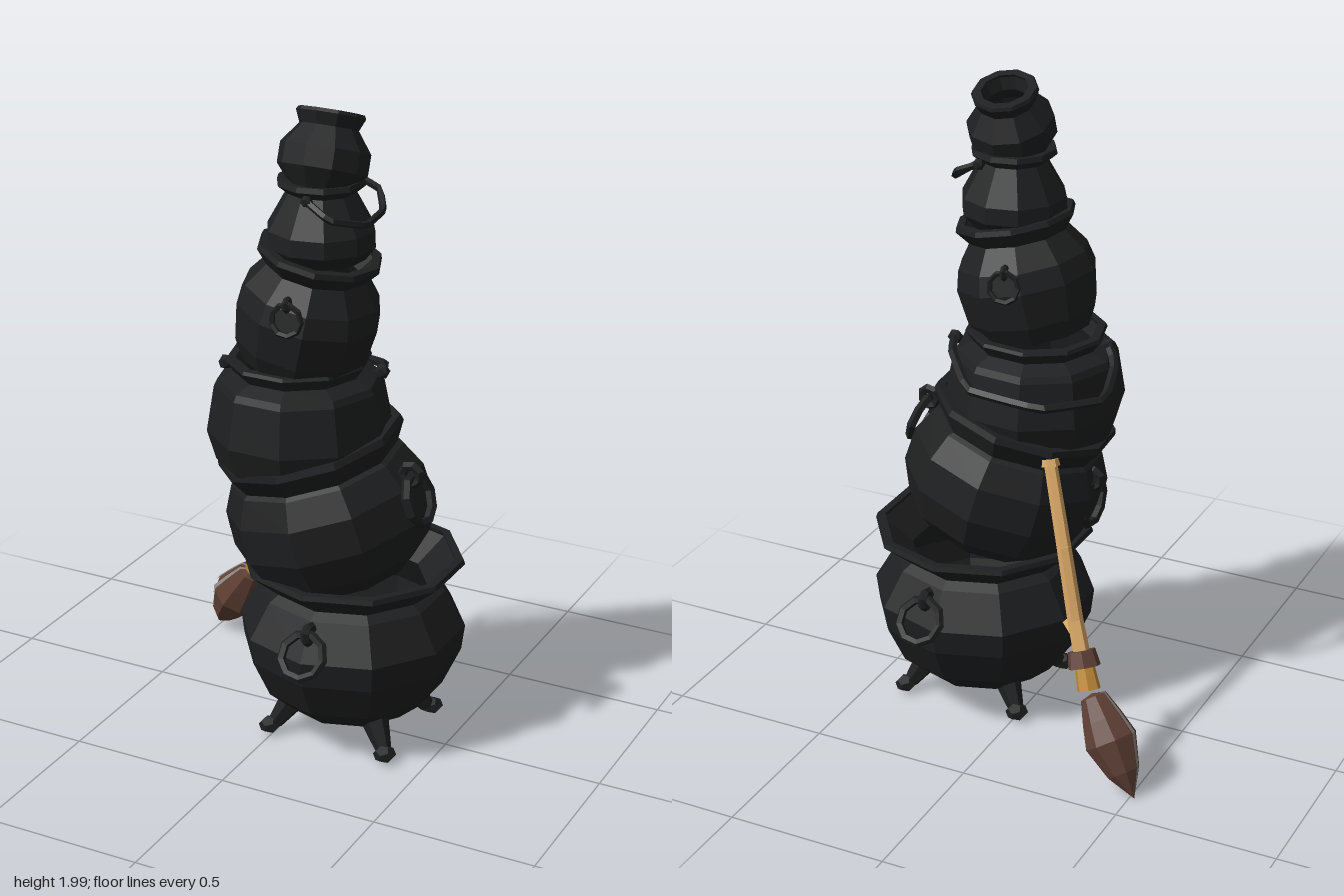
import * as THREE from 'three';

const mat = (color, side = THREE.FrontSide) =>
  new THREE.MeshStandardMaterial({ color, side, flatShading: true });
const iron = mat(0x1e1f20);
const wood = mat(0xd8a765);
const band = mat(0xc08a3a);
const straw = mat(0x5f4035);
const paleStraw = mat(0x8a8580);
const UP = new THREE.Vector3(0, 1, 0);
const v = (p) => new THREE.Vector3(...p);

function add(parent, name, geometry, material) {
  const mesh = new THREE.Mesh(geometry, material);
  mesh.name = name;
  parent.add(mesh);
  return mesh;
}

// Tapered rod from a to b
function rod(parent, name, a, b, r1, r2, material, sides = 6) {
  const d = v(b).sub(v(a));
  const mesh = add(parent, name, new THREE.CylinderGeometry(r2, r1, d.length(), sides), material);
  mesh.position.copy(v(a)).addScaledVector(d, 0.5);
  mesh.quaternion.setFromUnitVectors(UP, d.normalize());
  return mesh;
}

// Hollow pot: outer profile up to the lip, then back down the inside
function cauldron(parent, name, base, tiltX, tiltZ, profile, turn) {
  const t = 0.025;
  const outer = profile.map(([r, y]) => new THREE.Vector2(r, y));
  const inner = profile.map(([r, y], i) => new THREE.Vector2(r - t, i === 0 ? y + t : y)).reverse();
  const pts = [new THREE.Vector2(0, 0), ...outer, ...inner, new THREE.Vector2(0, t)];
  const geometry = new THREE.LatheGeometry(pts, 10).rotateY(turn);
  const mesh = add(parent, name, geometry, iron);
  mesh.position.set(...base);
  mesh.rotation.set(tiltX, 0, tiltZ);
}

// Ring hanging from a staple; azimuth 0 faces +z, swing lifts its lower edge outward
function ringHandle(parent, top, azimuth, swing, radius) {
  const g = new THREE.Group();
  g.name = 'ringHandle';
  const tube = radius * 0.2;
  const ring = add(g, 'ring', new THREE.TorusGeometry(radius, tube, 5, 9), iron);
  ring.position.set(0, -radius * Math.cos(swing), radius * Math.sin(swing));
  ring.rotation.x = -swing;
  const staple = add(g, 'staple', new THREE.TorusGeometry(radius * 0.38, tube, 5, 7), iron);
  staple.rotation.y = Math.PI / 2;
  g.position.set(...top);
  g.rotation.y = azimuth;
  parent.add(g);
}

// Carrying hoop through a few corners, with a knob at each end
function bail(parent, name, points, r) {
  const curve = new THREE.CatmullRomCurve3(points.map(v), false, 'catmullrom', 0.1);
  add(parent, name, new THREE.TubeGeometry(curve, 20, r, 5), iron);
  for (const p of [points[0], points[points.length - 1]]) {
    add(parent, name + 'Knob', new THREE.IcosahedronGeometry(r * 1.7, 0), iron).position.set(...p);
  }
}

function broom() {
  const g = new THREE.Group();
  g.name = 'broom';
  // Crooked stick
  const path = [[-0.315, 0.31, -0.305], [-0.25, 0.47, -0.25], [-0.19, 0.68, -0.205], [-0.115, 0.9, -0.138]];
  for (let i = 0; i < 3; i++) {
    rod(g, 'broomStick', path[i], path[i + 1], 0.026 - i * 0.002, 0.024 - i * 0.002, wood);
  }
  rod(g, 'stickTip', path[3], [-0.11, 0.92, -0.133], 0.028, 0.024, wood);
  rod(g, 'twig', [-0.27, 0.41, -0.265], [-0.215, 0.45, -0.23], 0.014, 0.017, wood, 5);
  // Binding
  rod(g, 'collar', [-0.3, 0.345, -0.292], [-0.283, 0.39, -0.277], 0.05, 0.042, straw, 7);
  rod(g, 'binding', [-0.325, 0.285, -0.313], [-0.302, 0.345, -0.293], 0.036, 0.03, band, 7);
  // Bristles taper to a point
  const neck = v([-0.315, 0.31, -0.305]);
  const tip = v([-0.515, 0.01, -0.4]);
  const axis = tip.clone().sub(neck);
  const len = axis.length();
  const q = new THREE.Quaternion().setFromUnitVectors(UP, axis.normalize());
  const profile = (s) => [[0, 0.04], [0.04, 0.05], [0.062, 0.12], [0.08, 0.19], [0.05, 0.29], [0, len]]
    .map(([r, y]) => new THREE.Vector2(r * s, y));
  const place = (m) => {
    m.position.copy(neck);
    m.quaternion.copy(q);
  };
  place(add(g, 'bristles', new THREE.LatheGeometry(profile(1), 8), straw));
  // Pale strands on the upper outer side
  const out = v([-0.6, 0.6, 0.4]).applyQuaternion(q.clone().invert());
  const phi = Math.atan2(out.x, out.z);
  for (const offset of [-0.35, 0.2]) {
    place(add(g, 'paleStrand', new THREE.LatheGeometry(profile(1.03), 1, phi + offset, 0.22), paleStraw));
  }
  return g;
}

export function createModel() {
  const model = new THREE.Group();
  model.name = 'cauldronTower';

  // Stack from the bottom up: name, base, tilt x, tilt z, profile, turn
  const pots = [
    ['bottomCauldron', [0.18, 0.1, 0], 0, 0,
      [[0.2, 0], [0.28, 0.07], [0.335, 0.19], [0.345, 0.27], [0.28, 0.38], [0.25, 0.4], [0.34, 0.475], [0.335, 0.49]]],
    ['secondCauldron', [0.18, 0.55, 0.03], 0.1, 0.26,
      [[0.2, 0], [0.27, 0.06], [0.31, 0.16], [0.305, 0.27], [0.265, 0.35], [0.25, 0.36], [0.285, 0.42], [0.28, 0.44]]],
    ['thirdCauldron', [0.05, 0.88, 0.09], 0, 0.02,
      [[0.2, 0], [0.25, 0.04], [0.275, 0.13], [0.25, 0.27], [0.24, 0.29], [0.19, 0.31], [0.215, 0.345], [0.21, 0.355]]],
    ['fourthCauldron', [0.05, 1.22, 0.105], 0, -0.2,
      [[0.17, 0], [0.2, 0.06], [0.215, 0.17], [0.2, 0.23], [0.15, 0.3], [0.185, 0.345], [0.18, 0.36]]],
    ['fifthCauldron', [0.12, 1.55, 0.1], 0, 0,
      [[0.13, 0], [0.16, 0.04], [0.158, 0.09], [0.1, 0.195], [0.13, 0.22], [0.125, 0.235]]],
    ['topCauldron', [0.13, 1.755, 0.135], -0.35, 0,
      [[0.08, 0], [0.13, 0.06], [0.13, 0.12], [0.085, 0.18], [0.1, 0.215], [0.095, 0.225]]],
  ];
  pots.forEach(([name, base, tx, tz, profile], i) => cauldron(model, name, base, tx, tz, profile, i * 0.13));

  // Four splayed feet
  for (const sx of [-1, 1]) {
    for (const sz of [-1, 1]) {
      const ankle = [0.185 + sx * 0.185, 0.04, 0.01 + sz * 0.155];
      rod(model, 'leg', ankle, [0.185 + sx * 0.12, 0.15, 0.01 + sz * 0.11], 0.024, 0.05, iron);
      const foot = add(model, 'foot', new THREE.DodecahedronGeometry(0.035), iron);
      foot.scale.y = 0.75;
      foot.position.set(0.185 + sx * 0.195, 0.037, 0.01 + sz * 0.17);
    }
  }

  // Ring handles on the bottom, second and fourth pots
  ringHandle(model, [0.19, 0.455, 0.31], 0, 0.65, 0.068);
  ringHandle(model, [0.22, 0.455, -0.31], Math.PI, 0.65, 0.068);
  ringHandle(model, [0.41, 0.925, 0.09], Math.PI / 2, 0.35, 0.075);
  ringHandle(model, [-0.155, 0.775, 0.07], -Math.PI / 2, 0, 0.075);
  ringHandle(model, [0.115, 1.465, 0.3], 0.1, 0.15, 0.045);
  ringHandle(model, [0.06, 1.465, -0.09], Math.PI + 0.2, 0.15, 0.045);

  // Drooping hoops on the third and fifth pots
  bail(model, 'largeBail', [[0.27, 1.19, 0], [0.24, 1.18, -0.08], [0.12, 1.13, -0.21],
    [-0.11, 1.11, -0.2], [-0.24, 1.1, -0.04], [-0.215, 1.16, 0.09], [-0.17, 1.19, 0.14]], 0.014);
  bail(model, 'smallBail', [[0.14, 1.75, 0.23], [0.22, 1.71, 0.245], [0.285, 1.68, 0.15],
    [0.28, 1.69, 0.03], [0.24, 1.73, -0.03], [0.17, 1.76, -0.03]], 0.011);

  model.add(broom());
  return model;
}
